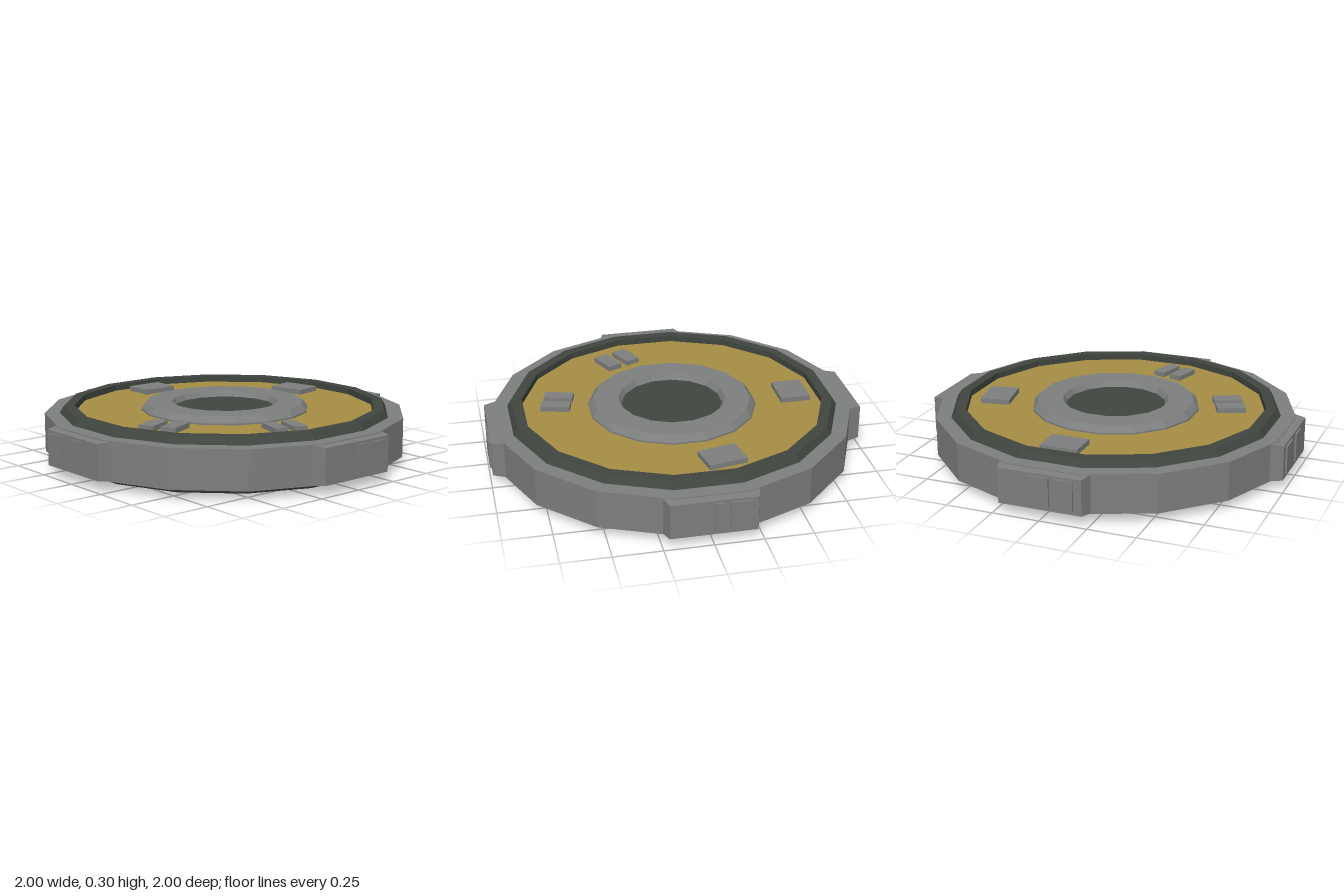
import * as THREE from 'three';

const SIDES = 16;
const START = Math.PI / SIDES; // puts a flat facet toward each axis
const MID = 0.148; // mid height; the body mirrors above and below it

const material = (name, color) => {
  const m = new THREE.MeshStandardMaterial({ color });
  m.name = name;
  return m;
};

// Hard-edged normals for every facet
function faceted(geometry) {
  const g = geometry.index ? geometry.toNonIndexed() : geometry;
  g.computeVertexNormals();
  return g;
}

// Closed ring from the upper half of its profile, [radius, height above middle] from outside to inside
function ringGeometry(upper) {
  const lower = upper.map(([r, h]) => [r, -h]).reverse();
  const loop = [...upper, ...lower, upper[0]];
  const points = loop.map(([r, h]) => new THREE.Vector2(r, h));
  return faceted(new THREE.LatheGeometry(points, SIDES, START));
}

function discGeometry(radius, halfHeight) {
  return faceted(new THREE.CylinderGeometry(radius, radius, halfHeight * 2, SIDES, 1, false, START));
}

// Box whose outer (+z) face is narrowed
function padGeometry() {
  const g = new THREE.BoxGeometry(0.48, 0.2, 0.07);
  const p = g.attributes.position;
  for (let i = 0; i < p.count; i++) {
    if (p.getZ(i) > 0) p.setXY(i, p.getX(i) * 0.91, p.getY(i) * 0.93);
  }
  return faceted(g);
}

export function createModel() {
  const model = new THREE.Group();
  model.name = 'discDevice';
  const grey = material('grey metal', 0x7d7f7e);
  const dark = material('dark green grey', 0x404640);
  const gold = material('dull gold', 0xa68e45);

  const add = (parent, name, geometry, mat, x = 0, y = 0, z = 0) => {
    const mesh = new THREE.Mesh(geometry, mat);
    mesh.name = name;
    mesh.position.set(x, y, z);
    parent.add(mesh);
    return mesh;
  };

  // Concentric body parts
  add(model, 'outerRing', ringGeometry([[0.965, 0.102], [0.84, 0.102]]), grey, 0, MID);
  add(model, 'darkRim', ringGeometry([[0.885, 0.102], [0.862, 0.14], [0.806, 0.14]]), dark, 0, MID);
  add(model, 'goldPlate', discGeometry(0.82, 0.106), gold, 0, MID);
  add(model, 'hubRing', ringGeometry([[0.45, 0.1], [0.45, 0.115], [0.422, 0.148], [0.287, 0.148], [0.268, 0.115]]), grey, 0, MID);
  add(model, 'hubCentre', discGeometry(0.28, 0.117), dark, 0, MID);

  // Raised pads on the four sides; each button is [centre, width] along its pad
  const pads = [
    { name: 'front', turn: 0, buttons: [[-0.13, 0.108], [0.045, 0.092]] },
    { name: 'left', turn: Math.PI / 2, buttons: [[0.035, 0.068], [0.133, 0.09]] },
    { name: 'back', turn: Math.PI, buttons: [[0.028, 0.046], [0.132, 0.105]] },
    { name: 'right', turn: -Math.PI / 2, buttons: [[-0.005, 0.112], [0.128, 0.095]] },
  ];
  for (const { name, turn, buttons } of pads) {
    const side = new THREE.Group();
    side.name = name + 'Pad';
    side.rotation.y = turn;
    add(side, 'padBlock', padGeometry(), grey, 0, MID, 0.955);
    for (const [x, width] of buttons) {
      add(side, 'padButton', new THREE.BoxGeometry(width, 0.15, 0.02), grey, x, MID + 0.005, 0.99);
    }
    model.add(side);
  }

  // Small blocks lying on the gold plate: x, z, width, depth, turn
  const blocks = [
    [-0.66, -0.01, 0.16, 0.2, 0],
    [-0.125, -0.632, 0.205, 0.158, 0.19],
    [0.618, 0.073, 0.155, 0.068, -0.27],
    [0.588, 0.176, 0.155, 0.068, -0.27],
    [0.147, 0.599, 0.083, 0.152, 0.42],
    [0.257, 0.547, 0.083, 0.152, 0.42],
  ];
  for (const [x, z, width, depth, turn] of blocks) {
    add(model, 'plateBlock', new THREE.BoxGeometry(width, 0.04, depth), grey, x, 0.261, z).rotation.y = turn;
  }

  return model;
}
